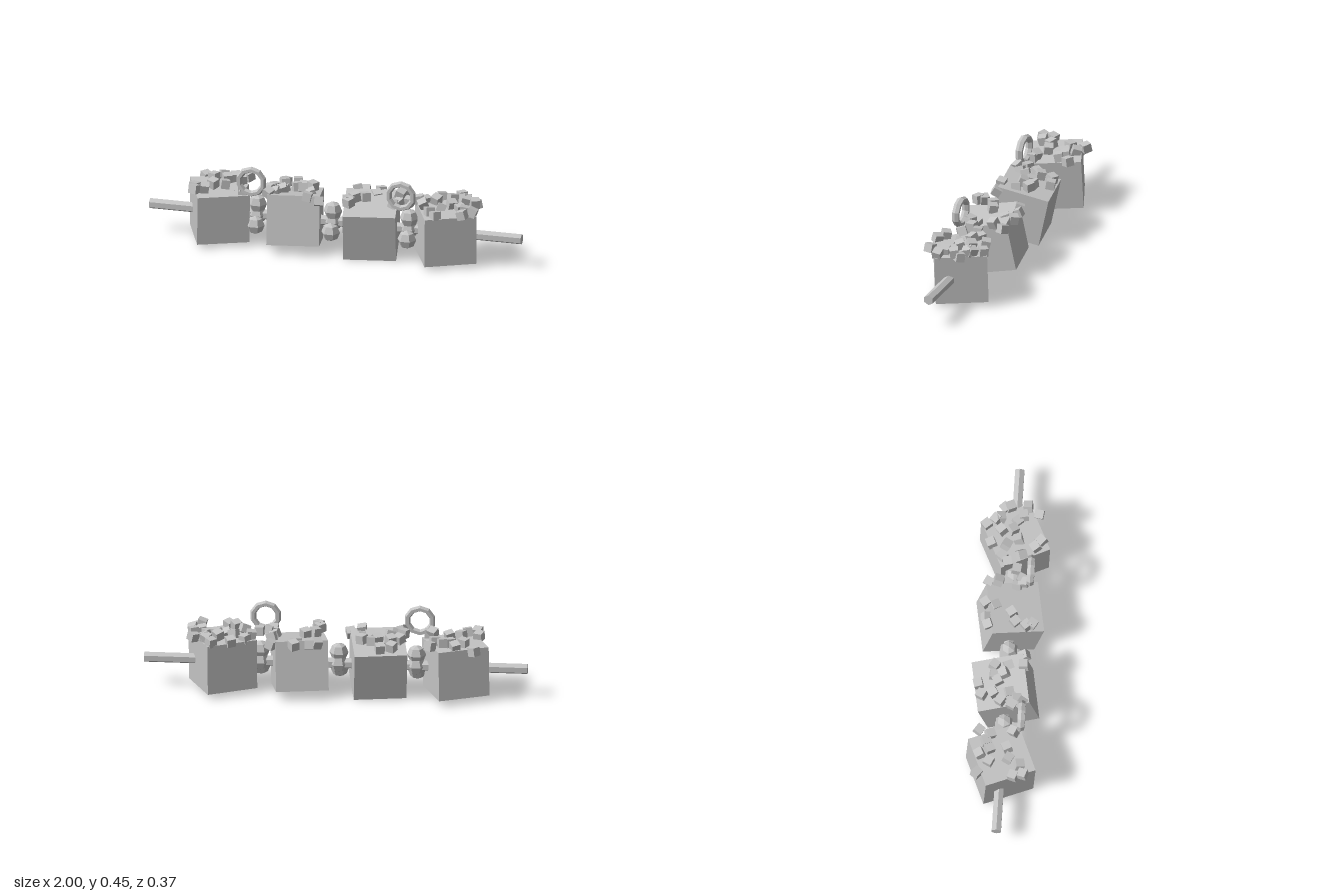
import * as THREE from 'three';

export function createModel() {
  const group = new THREE.Group();
  group.name = 'skewer';
  const grey = new THREE.MeshStandardMaterial({ color: 0xc4c4c4, flatShading: true });
  grey.name = 'plain grey';

  let seed = 7;
  const rand = () => (seed = (seed * 16807) % 2147483647) / 2147483647;

  const add = (name, geometry, x, y, z) => {
    const mesh = new THREE.Mesh(geometry, grey);
    mesh.name = name;
    mesh.position.set(x, y, z);
    group.add(mesh);
    return mesh;
  };

  // Hexagonal stick, with a corner of the hexagon upward
  const stick = new THREE.CylinderGeometry(0.028, 0.028, 2, 6);
  stick.rotateY(Math.PI / 2).rotateZ(Math.PI / 2);
  stick.computeBoundingBox();
  if (stick.boundingBox.max.y < 0.026) stick.rotateX(Math.PI / 6);
  add('stick', stick, 0, 0.165, 0);

  // Tilted chunks: x, y, pitch, yaw, then crumbs as x, z pairs in hundredths
  const chunks = [
    [-0.625, 0.167, 0.05, 0.4, [
      -73, -12, -50, -12, -60, -6, -67, -6, -63, -11, -52, -6, -56, -8,
      -65, 4, -59, 3, -74, 7, -68, 10, -73, 12, -50, 6, -48, 7]],
    [-0.22, 0.17, -0.2, 0.18, [
      -30, -12, -24, -14, -14, -6, -19, -6, -29, -6, -33, -2, -28, 2, -33, 3,
      -18, -1, -13, 1, -34, 9, -13, 9, -7, 9, -22, -4, -35, 4, -28, -2, -31, 6]],
    [0.19, 0.165, 0.2, 0.18, [
      13, -12, 21, -13, 20, -8, 9, -11, 33, -12, 33, -7, 11, 3,
      9, 9, 10, 12, 16, 1, 32, 3, 35, 5, 33, 6, 40, 2]],
    [0.59, 0.165, 0.03, 0.45, [
      54, -12, 64, -15, 67, -10, 47, -6, 44, -3, 53, -4, 61, -7, 68, -8, 57, 2,
      62, -1, 67, 1, 74, -3, 70, 4, 48, 4, 53, 11, 57, 14, 71, 12, 75, 6, 74, -6]],
  ];
  const cube = new THREE.BoxGeometry(0.275, 0.265, 0.275);
  const crumb = new THREE.BoxGeometry(0.046, 0.046, 0.046);
  for (const [x, y, pitch, yaw, spots] of chunks) {
    add('chunk', cube, x, y, 0).rotation.set(pitch, yaw, 0, 'YXZ');
    for (let i = 0; i < spots.length; i += 2) {
      const bit = add('crumb', crumb, spots[i] / 100, 0.3 + rand() * 0.03, spots[i + 1] / 100);
      bit.rotation.set((rand() - 0.5) * 0.7, rand() * 3, (rand() - 0.5) * 0.7);
    }
  }

  // Faceted beads in the gaps between the chunks
  const bead = new THREE.SphereGeometry(0.05, 6, 4);
  for (const x of [-0.42, -0.015, 0.395]) {
    add('bead', bead, x, 0.225, 0.005);
    add('bead', bead, x, 0.165, 0);
    add('bead', bead, x, 0.122, 0.05);
  }

  // Upright rings
  const ring = new THREE.TorusGeometry(0.067, 0.016, 6, 10);
  ring.rotateZ(Math.PI / 10).scale(1, 1, 1.3);
  for (const x of [-0.43, 0.375]) add('ring', ring, x, 0.379, 0.096);

  return group;
}
